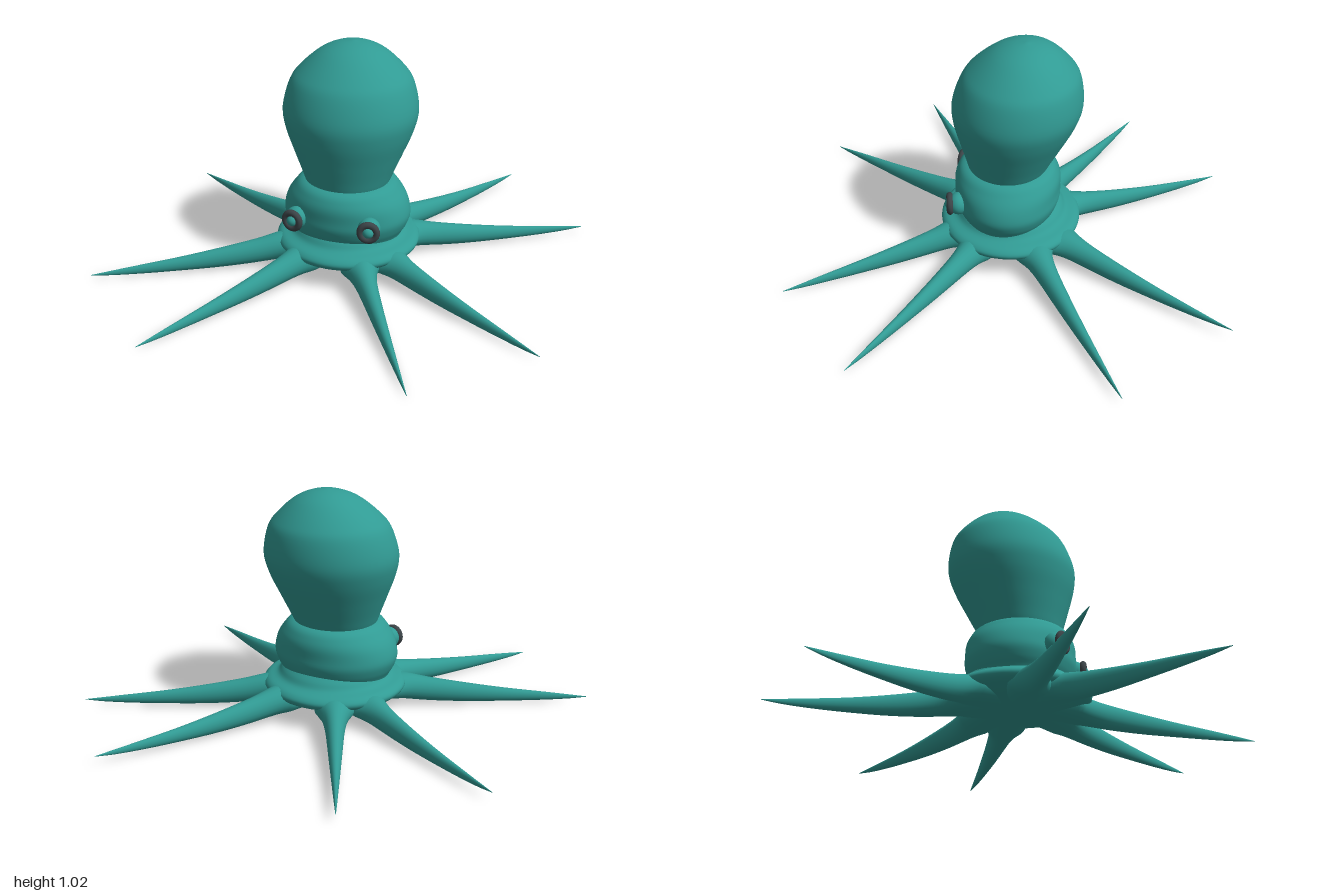
import * as THREE from 'three';
import { mergeVertices } from 'three/addons/utils/BufferGeometryUtils.js';

const skin = new THREE.MeshStandardMaterial({ color: 0x319b94 });
skin.name = 'teal skin';
const dark = new THREE.MeshStandardMaterial({ color: 0x3c4448 });
dark.name = 'dark eye ring';

function named(name, geometry, material) {
  const mesh = new THREE.Mesh(geometry, material);
  mesh.name = name;
  return mesh;
}

// Drop seams and recompute soft normals
function smooth(geometry) {
  geometry.deleteAttribute('uv');
  geometry.deleteAttribute('normal');
  const merged = mergeVertices(geometry, 1e-5);
  merged.computeVertexNormals();
  return merged;
}

// Turned form from [radius, height] points, with a depth scale and centre set by height
function turned(points, samples, depth, centreZ) {
  const curve = new THREE.SplineCurve(points.map(([r, y]) => new THREE.Vector2(r, y)));
  const profile = curve.getPoints(samples);
  profile.forEach((p) => { p.x = Math.max(p.x, 0); });
  const geometry = new THREE.LatheGeometry(profile, 56);
  const pos = geometry.attributes.position;
  for (let i = 0; i < pos.count; i++) {
    const y = pos.getY(i);
    pos.setXYZ(i, pos.getX(i) + 0.012, y, pos.getZ(i) * depth(y) + centreZ(y));
  }
  return smooth(geometry);
}

// Tapered arm along +z: stations of (distance, centre height, half height)
function armGeometry(length, lift) {
  const k = length / 1.14;
  const curve = new THREE.CatmullRomCurve3([
    [0.08, 0.095, 0.04], [0.2, 0.1, 0.053], [0.3, 0.094, 0.06], [0.42, 0.075, 0.055],
    [0.58, 0.056, 0.045], [0.76, 0.04, 0.032], [0.94, 0.027, 0.02], [1.06, 0.019, 0.01], [1.14, 0.015, 0.001],
  ].map(([r, y, h]) => new THREE.Vector3(r * k, y, h)));
  const rings = 44, sides = 20, verts = [], index = [];
  for (let i = 0; i <= rings; i++) {
    const p = curve.getPoint(i / rings);
    const flare = 0.04 * Math.min(1, Math.exp((0.27 - p.x) / 0.05));
    const halfWidth = 0.061 * (length - p.x) + flare + 0.0008;
    const y = p.y + lift * Math.pow(p.x / length, 3);
    for (let j = 0; j < sides; j++) {
      const a = (j / sides) * Math.PI * 2;
      verts.push(Math.cos(a) * halfWidth, y + Math.sin(a) * p.z, p.x);
      if (i === rings) continue;
      const n = (j + 1) % sides;
      const A = i * sides + j, B = i * sides + n;
      index.push(A, B, A + sides, B, B + sides, A + sides);
    }
  }
  const geometry = new THREE.BufferGeometry();
  geometry.setAttribute('position', new THREE.Float32BufferAttribute(verts, 3));
  geometry.setIndex(index);
  geometry.computeVertexNormals();
  return geometry;
}

// Eye: socket bulge, dark ring and pupil facing outwards
function makeEye(name, x, turn) {
  const eye = new THREE.Group();
  eye.name = name;
  const socket = named('eyeSocket', new THREE.SphereGeometry(0.05, 24, 16), skin);
  socket.scale.z = 0.9;
  const ring = named('eyeRing', new THREE.TorusGeometry(0.036, 0.015, 12, 28), dark);
  ring.position.z = 0.037;
  const pupil = named('pupil', new THREE.SphereGeometry(0.026, 20, 14), skin);
  pupil.position.z = 0.034;
  eye.add(socket, ring, pupil);
  eye.position.set(x, 0.285, 0.222);
  eye.rotation.y = turn;
  return eye;
}

export function createModel() {
  const model = new THREE.Group();
  model.name = 'octopus';

  // Tall bulb leaning slightly back
  model.add(named('mantle', turned([
    [0.17, 0.38], [0.19, 0.42], [0.21, 0.47], [0.243, 0.55], [0.282, 0.65], [0.298, 0.74],
    [0.272, 0.85], [0.23, 0.91], [0.15, 0.98], [0.075, 1.015], [0, 1.028],
  ], 48, () => 0.95, (y) => 0.02 - 0.13 * (y - 0.42)), skin));

  // Rounded head below the neck crease
  model.add(named('head', turned([
    [0.24, 0.12], [0.248, 0.175], [0.272, 0.22], [0.286, 0.27], [0.272, 0.33],
    [0.24, 0.38], [0.196, 0.42], [0.1, 0.435], [0, 0.44],
  ], 40, (y) => 0.83 + 0.14 * THREE.MathUtils.smoothstep(y, 0.28, 0.42), () => 0.022), skin));

  // Web joining the arms, closed underneath
  model.add(named('web', turned([
    [0, 0.045], [0.1, 0.05], [0.22, 0.072], [0.3, 0.1], [0.323, 0.128],
    [0.305, 0.153], [0.26, 0.17], [0.235, 0.2], [0.2, 0.23],
  ], 36, () => 0.98, () => 0.01), skin));

  // Eight arms: tip x, tip z, tip lift
  const tips = [
    [-1.0, 0.575, 0.012], [-0.555, 0.985, 0], [0.555, 0.94, 0], [0.985, 0.55, 0.012],
    [0.995, -0.56, 0.022], [0.575, -0.995, 0.035], [-0.5, -0.93, 0.035], [-0.945, -0.5, 0.032],
  ];
  tips.forEach(([x, z, lift], i) => {
    const dx = x - 0.01, dz = z - 0.005;
    const arm = named('arm' + (i + 1), armGeometry(Math.hypot(dx, dz), lift), skin);
    arm.position.set(0.01, 0, 0.005);
    arm.rotation.y = Math.atan2(dx, dz);
    model.add(arm);
  });

  model.add(makeEye('rightEye', -0.155, -0.2), makeEye('leftEye', 0.177, 0.2));
  return model;
}
